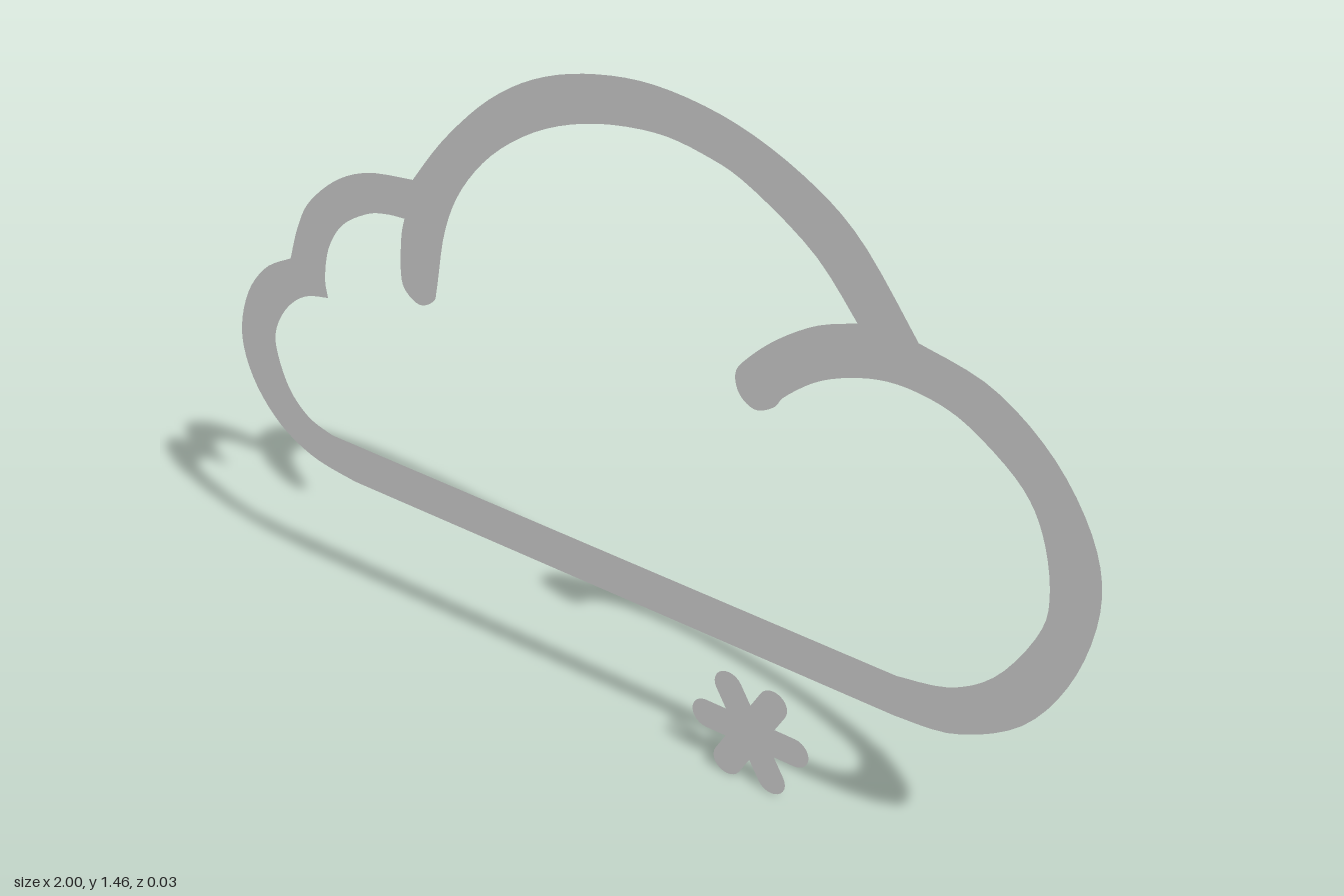
import * as THREE from 'three';

const material = new THREE.MeshStandardMaterial({ color: 0xcccccc, side: THREE.DoubleSide });
const toPoints = (run) => run.map(([x, y]) => new THREE.Vector2(x, y));

// Joins smooth runs into one closed outline; sharp corners fall between runs
function outline(runs, PathType) {
  const path = new PathType();
  path.moveTo(...runs[0][0]);
  for (const run of runs) {
    const rest = toPoints(run.slice(1));
    if (rest.length > 1) path.splineThru(rest);
    else path.lineTo(rest[0].x, rest[0].y);
  }
  path.closePath();
  return path;
}

// Outer edge of the cloud, counter-clockwise from the base
const outerRuns = [
  // base
  [[-0.71, 0.337], [0.60, 0.337]],
  // right lobe
  [[0.60, 0.337], [0.73, 0.354], [0.867, 0.436], [0.958, 0.575], [1, 0.74], [0.978, 0.875],
    [0.89, 1.01], [0.76, 1.105], [0.61, 1.14]],
  // dome
  [[0.61, 1.14], [0.485, 1.30], [0.365, 1.385], [0.215, 1.443], [0.055, 1.463], [-0.085, 1.445],
    [-0.215, 1.398], [-0.33, 1.32], [-0.44, 1.205], [-0.52, 1.095]],
  // upper left lobe
  [[-0.52, 1.095], [-0.63, 1.075], [-0.715, 1.032], [-0.79, 0.96], [-0.825, 0.893], [-0.85, 0.813]],
  // lower left lobe
  [[-0.85, 0.813], [-0.92, 0.768], [-0.975, 0.69], [-1, 0.585], [-0.975, 0.485], [-0.91, 0.402],
    [-0.82, 0.354], [-0.71, 0.337]],
];

// Inner edge, including the two round-ended curls
const innerRuns = [
  [[-0.765, 0.428], [0.60, 0.428]],
  // right lobe and its curl
  [[0.60, 0.428], [0.715, 0.453], [0.81, 0.523], [0.887, 0.65], [0.90, 0.742], [0.877, 0.853],
    [0.83, 0.932], [0.74, 1.0], [0.665, 1.033], [0.575, 1.043], [0.495, 1.028], [0.41, 0.99],
    [0.34, 0.933], [0.315, 0.90], [0.275, 0.88], [0.24, 0.90], [0.23, 0.94], [0.25, 0.975],
    [0.315, 1.04], [0.40, 1.10], [0.485, 1.135]],
  // dome and its curl
  [[0.485, 1.135], [0.39, 1.242], [0.25, 1.33], [0.155, 1.36], [0.05, 1.37], [-0.085, 1.347],
    [-0.21, 1.295], [-0.32, 1.213], [-0.40, 1.113], [-0.445, 1.008], [-0.47, 0.875], [-0.48, 0.843],
    [-0.515, 0.823], [-0.55, 0.843], [-0.56, 0.88], [-0.555, 0.96], [-0.545, 1.003]],
  // upper left lobe
  [[-0.545, 1.003], [-0.59, 0.998], [-0.64, 0.982], [-0.705, 0.937], [-0.745, 0.873], [-0.76, 0.80],
    [-0.755, 0.755]],
  // lower left lobe
  [[-0.755, 0.755], [-0.815, 0.738], [-0.865, 0.697], [-0.90, 0.638], [-0.905, 0.583],
    [-0.877, 0.50], [-0.827, 0.448], [-0.765, 0.428]],
];

// Six round-ended arms meeting in one flat star
function flakeShape(armLength, halfWidth) {
  const capSteps = 12;
  const points = [];
  for (let arm = 0; arm < 6; arm++) {
    const angle = (arm * Math.PI) / 3;
    const cx = Math.cos(angle) * (armLength - halfWidth);
    const cy = Math.sin(angle) * (armLength - halfWidth);
    for (let i = 0; i <= capSteps; i++) {
      const a = angle - Math.PI / 2 + (Math.PI * i) / capSteps;
      points.push(new THREE.Vector2(cx + halfWidth * Math.cos(a), cy + halfWidth * Math.sin(a)));
    }
    // notch between this arm and the next
    const notch = angle + Math.PI / 6;
    const r = halfWidth / Math.sin(Math.PI / 6);
    points.push(new THREE.Vector2(r * Math.cos(notch), r * Math.sin(notch)));
  }
  return new THREE.Shape(points);
}

function flatMesh(name, shape, segments) {
  const mesh = new THREE.Mesh(new THREE.ShapeGeometry(shape, segments), material);
  mesh.name = name;
  return mesh;
}

export function createModel() {
  const group = new THREE.Group();
  group.name = 'snowCloud';

  // The cloud sits slightly in front of the snowflake
  const cloudShape = outline(outerRuns, THREE.Shape);
  cloudShape.holes.push(outline(innerRuns, THREE.Path));
  const cloud = flatMesh('cloudOutline', cloudShape, 4);
  cloud.position.z = 0.013;
  group.add(cloud);

  const flake = flatMesh('snowflake', flakeShape(0.137, 0.033), 1);
  flake.position.set(0.262, 0.124, -0.013);
  group.add(flake);

  return group;
}
